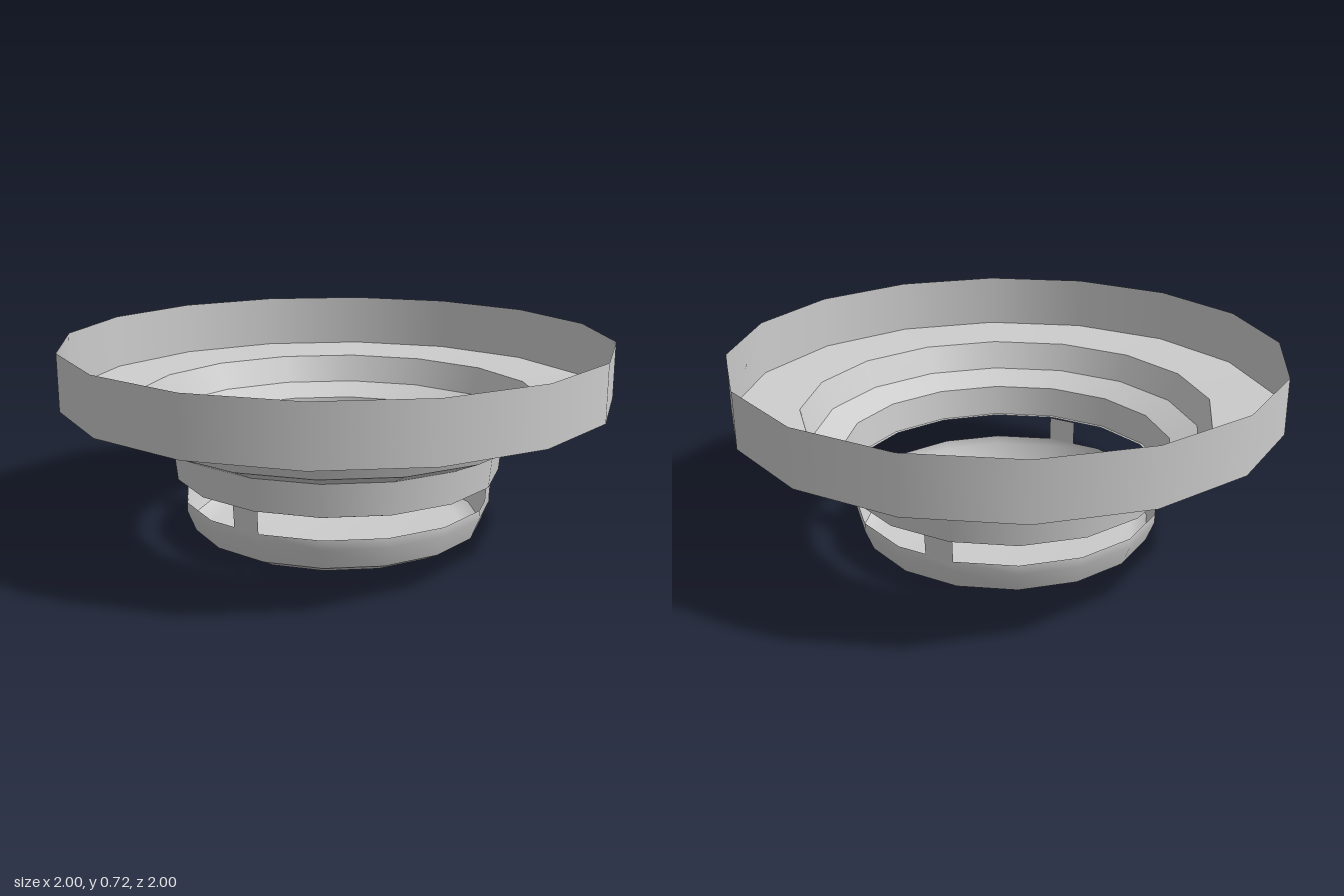
import * as THREE from 'three';

const SIDES = 16;

export function createModel() {
  const model = new THREE.Group();
  const metal = new THREE.MeshStandardMaterial({ color: 0xcccccc, side: THREE.DoubleSide });
  metal.name = 'light grey';

  // One turned sheet: smooth inside a band, sharp where bands meet
  function turned(name, ...bands) {
    const group = new THREE.Group();
    group.name = name;
    for (const band of bands) {
      const points = band.map(([r, y]) => new THREE.Vector2(r, y));
      const mesh = new THREE.Mesh(new THREE.LatheGeometry(points, SIDES), metal);
      mesh.name = name + 'Band';
      group.add(mesh);
    }
    model.add(group);
  }

  // Tall outer wall and the flat flange inside it
  turned('outerRim', [[1, 0.515], [1, 0.72]]);
  turned('flange', [[0.755, 0.505], [1, 0.517]]);

  // Stepped funnel below the flange
  turned('funnel',
    [[0.715, 0.4], [0.755, 0.505]],
    [[0.612, 0.353], [0.715, 0.4]],
    [[0.6, 0.235], [0.612, 0.353]],
    [[0.592, 0.232], [0.6, 0.235]]);

  // Shallow dish at the bottom
  turned('dish',
    [[0, 0], [0.48, 0.003], [0.54, 0.035]],
    [[0.54, 0.035], [0.57, 0.11], [0.57, 0.145]]);

  // Four thin struts, each half a facet wide, joining dish and funnel
  const corner = (step, r) => {
    // Point on the 16-sided ring, in half facets from +x towards +z
    const at = (k) => new THREE.Vector2(Math.cos(k * Math.PI / 8), Math.sin(k * Math.PI / 8));
    const k = Math.floor(step / 2);
    return at(k).lerp(at(k + 1), step / 2 - k).multiplyScalar(r);
  };
  for (const step of [2, 12, 19, 28]) {
    const pos = [];
    for (const [r, y] of [[0.57, 0.14], [0.592, 0.236]]) {
      for (const s of [step, step + 1]) {
        const p = corner(s, r === 0.57 ? 0.57 : 0.575);
        pos.push(p.x, y, p.y);
      }
    }
    const geo = new THREE.BufferGeometry();
    geo.setAttribute('position', new THREE.Float32BufferAttribute(pos, 3));
    geo.setIndex([0, 2, 1, 1, 2, 3]);
    geo.computeVertexNormals();
    const strut = new THREE.Mesh(geo, metal);
    strut.name = 'strut';
    model.add(strut);
  }

  return model;
}
